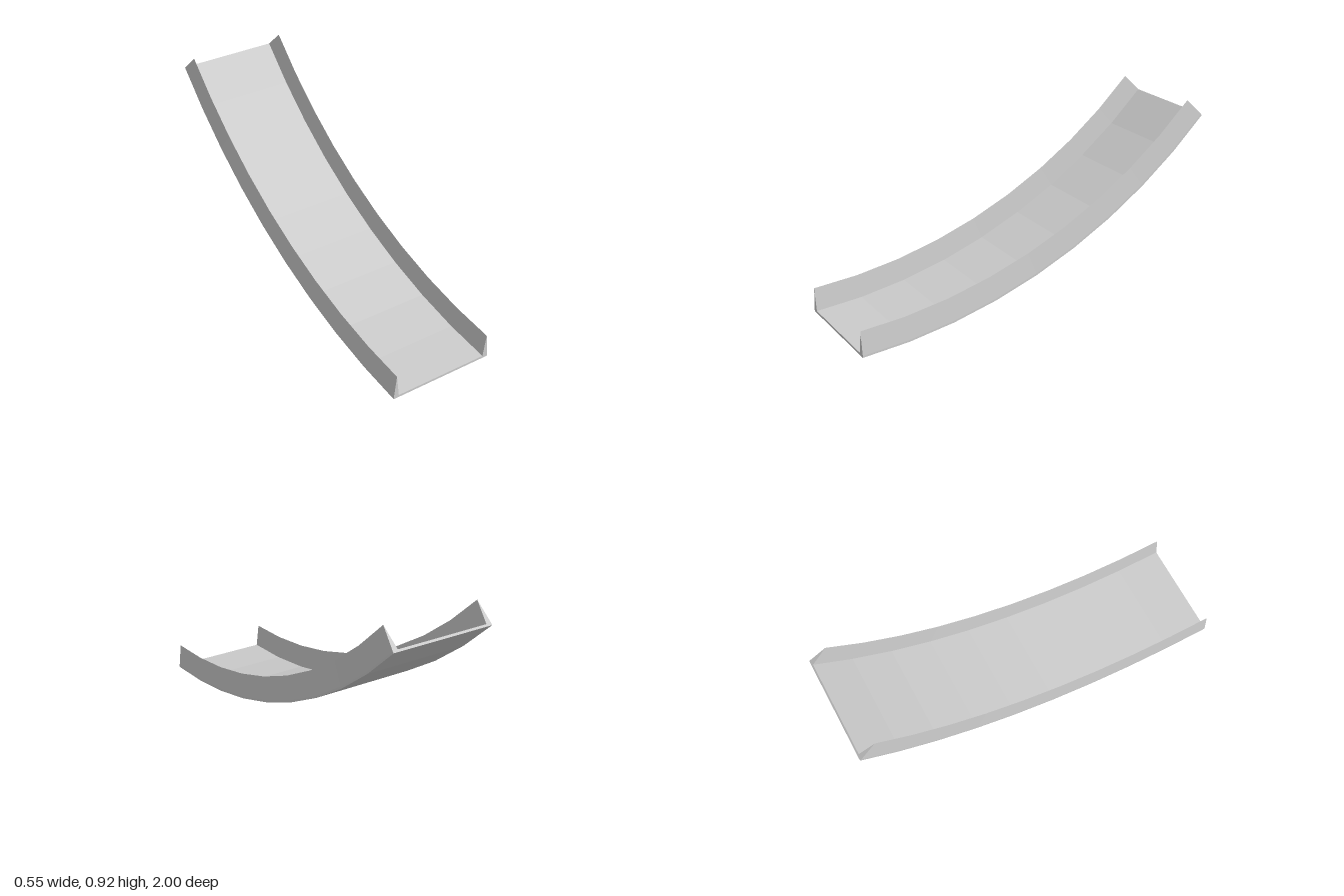
import * as THREE from 'three';

const ANGLE = Math.PI / 4;            // the chute curves up through 45 degrees
const RADIUS = 2 / Math.sin(ANGLE);   // underside radius, giving a run of 2 units
const SEGMENTS = 9;

// Cross-section: thin floor with two side walls tapering to a ridge
function channelProfile() {
  const half = [[0.275, 0], [0.275, 0.01], [0.262, 0.133], [0.247, 0.012]];
  const mirrored = half.map(([x, y]) => [-x, y]).reverse();
  return new THREE.Shape([...half, ...mirrored].map(([x, y]) => new THREE.Vector2(x, y)));
}

// Bend a straight unit extrusion along the arc, rising towards the back
function bendUpwards(geometry) {
  const p = geometry.attributes.position;
  for (let i = 0; i < p.count; i++) {
    const a = (1 - p.getZ(i)) * ANGLE;
    const r = RADIUS - p.getY(i);
    p.setXYZ(i, p.getX(i), RADIUS - r * Math.cos(a), 1 - r * Math.sin(a));
  }
  geometry.computeVertexNormals();
  return geometry;
}

export function createModel() {
  const group = new THREE.Group();
  group.name = 'slide';

  // Curved chute with floor, side walls and closed ends
  const geometry = bendUpwards(new THREE.ExtrudeGeometry(channelProfile(), {
    depth: 1, steps: SEGMENTS, bevelEnabled: false,
  }));
  const chute = new THREE.Mesh(
    geometry,
    new THREE.MeshStandardMaterial({ color: 0xcccccc, flatShading: true }),
  );
  chute.name = 'chute';
  group.add(chute);
  return group;
}
